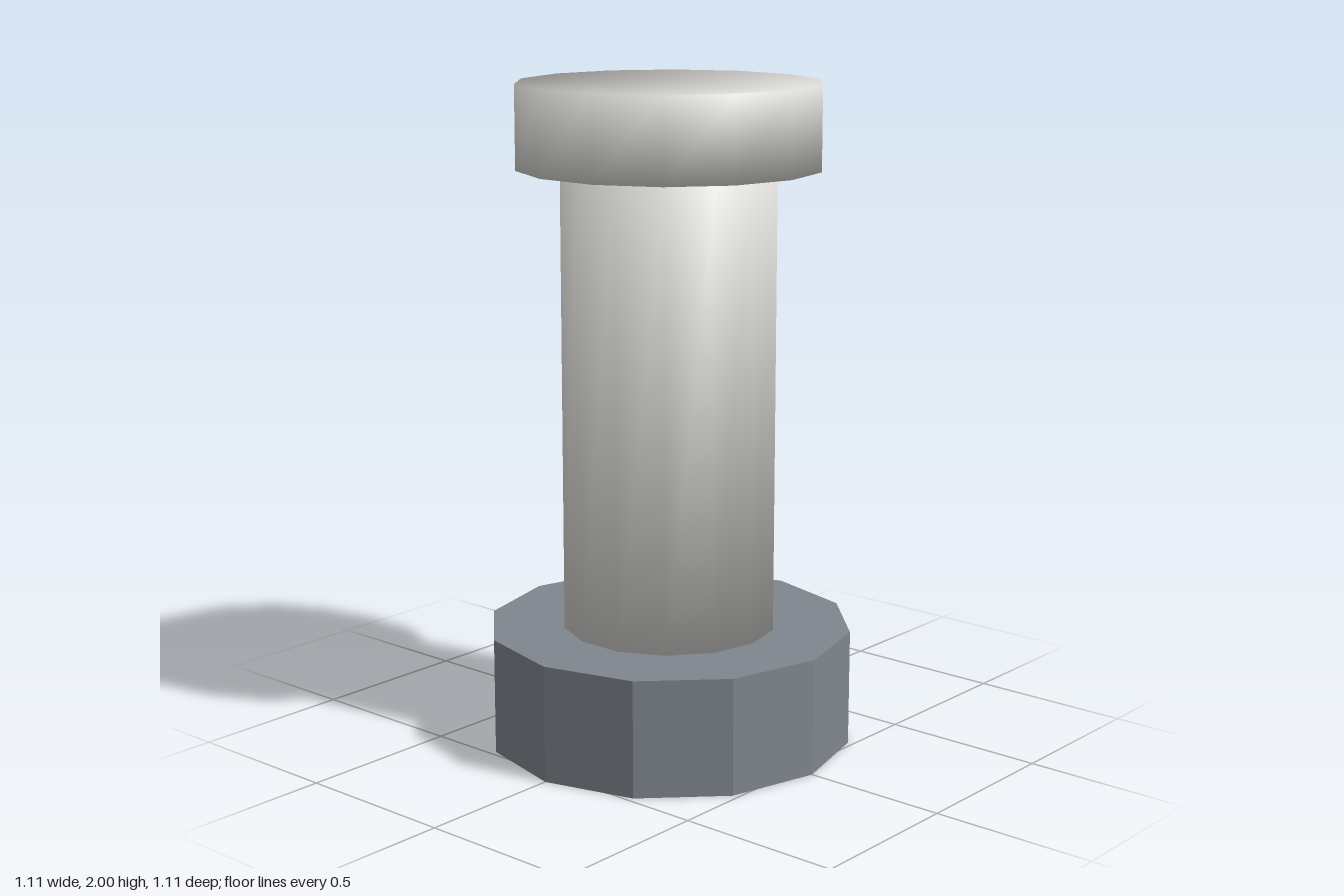
import * as THREE from 'three';

const SIDES = 14;

// Closed prism whose side and end faces share vertices, so shading rolls smoothly over the rims.
function softPrism(radius, y0, y1) {
  const pos = [], nor = [], idx = [];
  const n = new THREE.Vector3();
  for (const [y, up] of [[y0, -1], [y1, 1]]) {
    for (let i = 0; i < SIDES; i++) {
      const a = (i / SIDES) * Math.PI * 2;
      const s = Math.sin(a), c = Math.cos(a);
      pos.push(radius * s, y, radius * c);
      n.set(1.14 * s, up, 1.14 * c).normalize();
      nor.push(n.x, n.y, n.z);
    }
  }
  for (let i = 0; i < SIDES; i++) {
    const j = (i + 1) % SIDES;
    idx.push(i, j, SIDES + j, i, SIDES + j, SIDES + i);
  }
  // End faces as fans
  for (let i = 1; i < SIDES - 1; i++) {
    idx.push(SIDES, SIDES + i, SIDES + i + 1);
    idx.push(0, i + 1, i);
  }
  const g = new THREE.BufferGeometry();
  g.setAttribute('position', new THREE.Float32BufferAttribute(pos, 3));
  g.setAttribute('normal', new THREE.Float32BufferAttribute(nor, 3));
  g.setIndex(idx);
  return g;
}

export function createModel() {
  const group = new THREE.Group();
  group.name = 'bollard';

  const lightGrey = new THREE.MeshStandardMaterial({ color: 0xd8d7d3 });
  lightGrey.name = 'light grey';
  const slate = new THREE.MeshStandardMaterial({ color: 0x7f868e });
  slate.name = 'slate grey';

  const add = (name, geometry, material) => {
    const mesh = new THREE.Mesh(geometry, material);
    mesh.name = name;
    group.add(mesh);
  };

  // Faceted twelve-sided foot
  const foot = new THREE.CylinderGeometry(0.556, 0.556, 0.355, 12).toNonIndexed();
  foot.translate(0, 0.1775, 0);
  foot.computeVertexNormals();
  add('base', foot, slate);

  // Smooth post and wider cap
  add('post', softPrism(0.325, 0.355, 1.75), lightGrey);
  add('cap', softPrism(0.455, 1.75, 2), lightGrey);

  return group;
}
